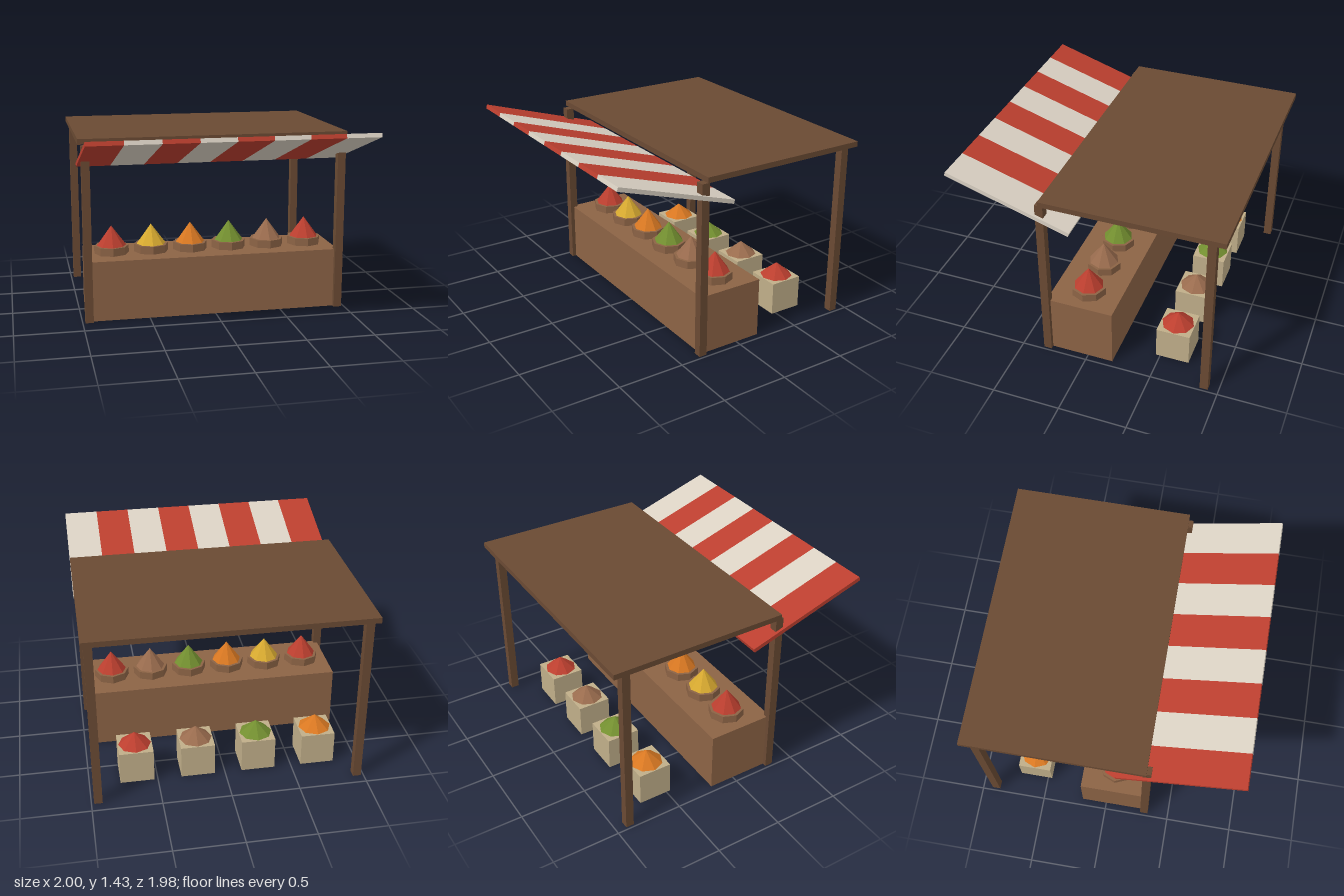
import * as THREE from 'three';

export function createModel() {
  const model = new THREE.Group();
  model.name = 'marketStall';

  const mat = (name, color) => {
    const m = new THREE.MeshStandardMaterial({ color, flatShading: true });
    m.name = name;
    return m;
  };
  const darkWood = mat('darkWood', 0x6a4a33);
  const wood = mat('wood', 0x8c6345);
  const red = mat('red', 0xbc3f2f);
  const cream = mat('cream', 0xdad1c3);
  const sackcloth = mat('sackcloth', 0xc0ae89);
  const yellow = mat('yellow', 0xd8aa30);
  const orange = mat('orange', 0xd97822);
  const green = mat('green', 0x738f30);
  const brown = mat('brown', 0x9a6c4e);

  const add = (parent, name, geometry, material, x, y, z) => {
    const mesh = new THREE.Mesh(geometry, material);
    mesh.name = name;
    mesh.position.set(x, y, z);
    parent.add(mesh);
    return mesh;
  };
  const box = (w, h, d) => new THREE.BoxGeometry(w, h, d);

  // Four corner posts and the flat roof
  for (const x of [-0.95, 0.95]) {
    add(model, 'frontPost', box(0.06, 1.305, 0.06), darkWood, x, 0.6525, 0.31);
    add(model, 'backPost', box(0.06, 1.305, 0.06), darkWood, x, 0.6525, -0.895);
  }
  add(model, 'roof', box(2, 0.04, 1.3), darkWood, 0, 1.333, -0.343);

  // Sloping awning made of eight striped panels
  const awning = new THREE.Group();
  awning.name = 'awning';
  awning.position.set(0, 1.277, 0.538);
  awning.rotation.x = -0.31;
  for (let i = 0; i < 8; i++) {
    add(awning, 'awningStripe', box(0.25, 0.03, 0.94), i % 2 ? cream : red, -0.875 + i * 0.25, 0, 0);
  }
  model.add(awning);

  // Counter with six octagonal baskets of spice
  add(model, 'counter', box(1.9, 0.45, 0.5), wood, 0, 0.225, 0.06);
  const basketShape = new THREE.CylinderGeometry(0.13, 0.13, 0.06, 8);
  const pileShape = new THREE.ConeGeometry(0.11, 0.15, 8);
  [red, yellow, orange, green, brown, red].forEach((spice, i) => {
    const x = -0.75 + i * 0.3;
    add(model, 'basket', basketShape, wood, x, 0.479, 0.06);
    add(model, 'spicePile', pileShape, spice, x, 0.584, 0.06);
  });

  // Four square sacks on the ground behind the counter
  const sackPile = new THREE.ConeGeometry(0.12, 0.1, 8);
  [orange, green, brown, red].forEach((spice, i) => {
    const x = -0.7 + i * 0.45;
    add(model, 'sack', box(0.25, 0.25, 0.25), sackcloth, x, 0.125, -0.593);
    add(model, 'sackSpice', sackPile, spice, x, 0.301, -0.593);
  });

  return model;
}
